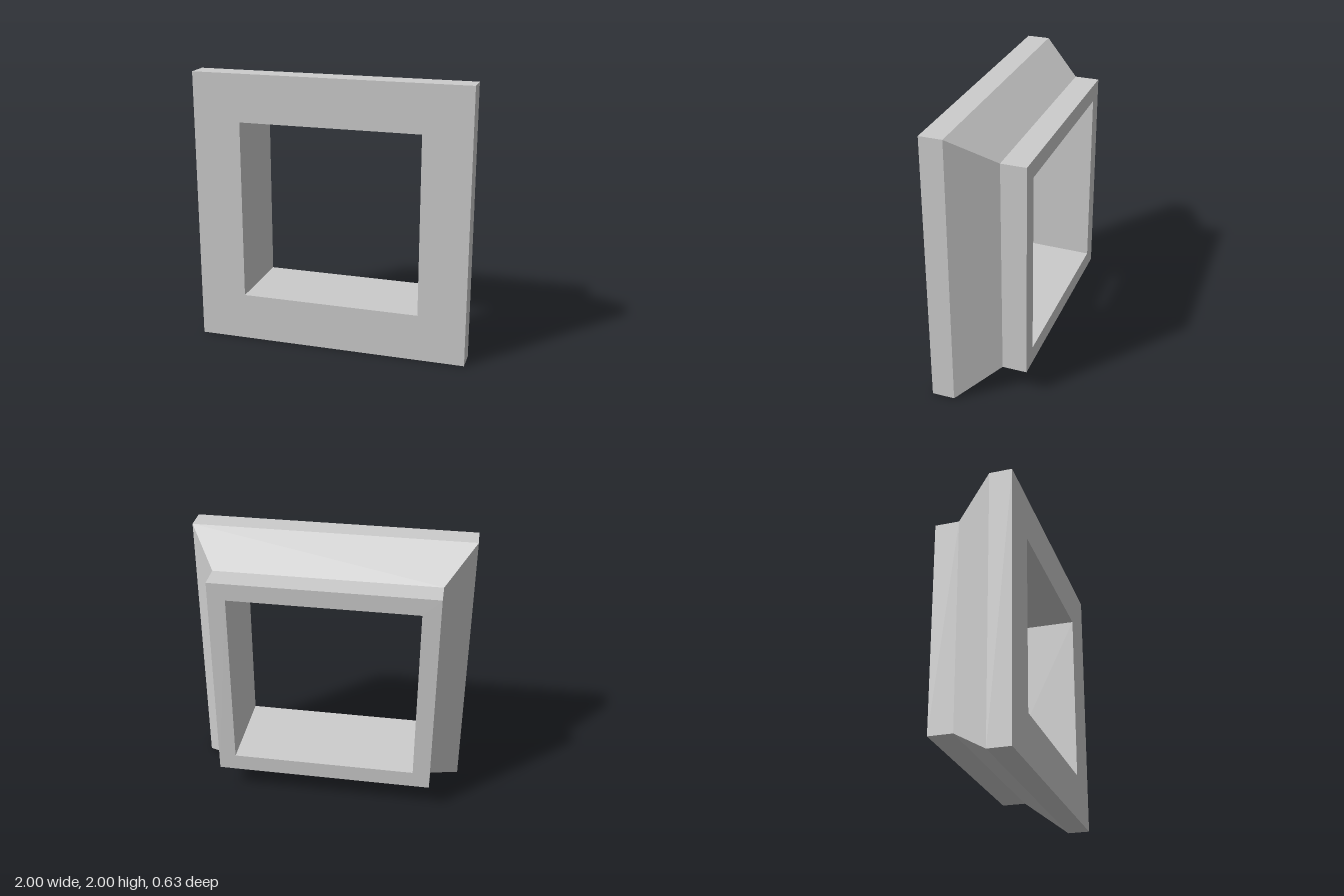
import * as THREE from 'three';

// Square ring swept from one closed cross-section of [half width, z] points
function squareRing(section) {
  const points = section.map(([half, z]) => new THREE.Vector2(half * Math.SQRT2, z));
  points.push(points[0].clone());
  const ring = new THREE.LatheGeometry(points, 4);
  ring.rotateY(Math.PI / 4); // sides parallel to the axes
  ring.rotateX(Math.PI / 2); // sweep axis from y to z
  const flat = ring.toNonIndexed();
  flat.computeVertexNormals(); // crisp flat faces
  return flat;
}

export function createModel() {
  const group = new THREE.Group();
  group.name = 'windowFrame';
  const grey = new THREE.MeshStandardMaterial({ color: 0xcccccc });
  grey.name = 'lightGrey';

  // Outer side from back to front, then the slightly flared opening
  const frame = new THREE.Mesh(squareRing([
    [0.795, -0.316],
    [0.795, -0.138],
    [1, 0.152],
    [1, 0.316],
    [0.655, 0.316],
    [0.669, -0.316],
  ]), grey);
  frame.name = 'frame';
  frame.position.y = 1;
  group.add(frame);
  return group;
}
